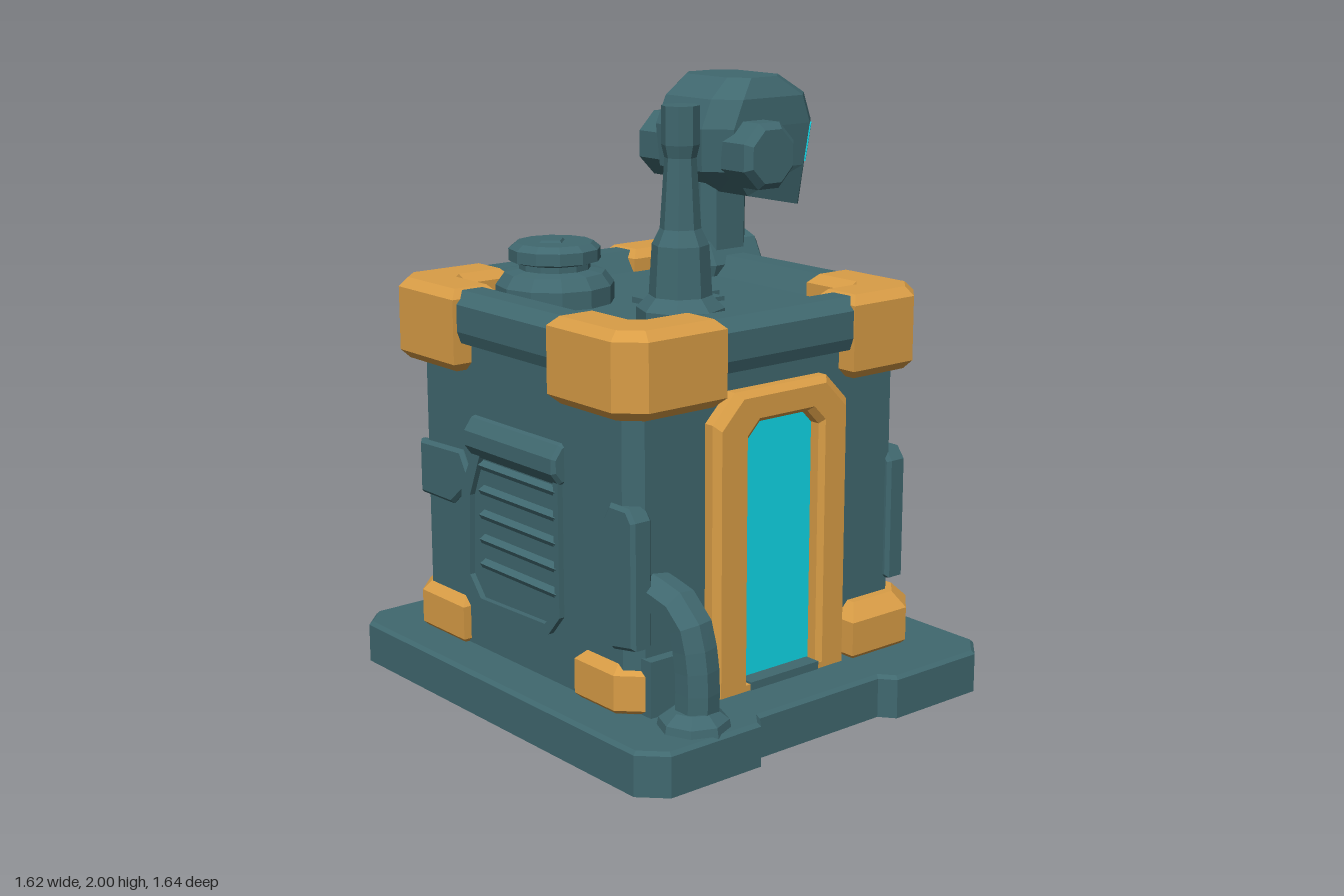
import * as THREE from 'three';

const paint = (name, color) => {
  const m = new THREE.MeshStandardMaterial({ color, flatShading: true });
  m.name = name;
  return m;
};

export function createModel() {
  const teal = paint('teal metal', 0x40686f);
  const orange = paint('orange trim', 0xd99d46);
  const cyan = paint('cyan glow', 0x10dcec);
  const root = new THREE.Group();

  const add = (name, geo, mat, parent = root) => {
    const mesh = new THREE.Mesh(geo, mat);
    mesh.name = name;
    parent.add(mesh);
    return mesh;
  };
  const box = (x0, x1, y0, y1, z0, z1) =>
    new THREE.BoxGeometry(x1 - x0, y1 - y0, z1 - z0)
      .translate((x0 + x1) / 2, (y0 + y1) / 2, (z0 + z1) / 2);
  const toVectors = pts => pts.map(p => new THREE.Vector2(...p));
  // Extrusion, either chamfered or with a hole
  const extrude = (pts, depth, b = 0, hole = null) => {
    const shape = new THREE.Shape(toVectors(pts));
    if (hole) {
      const h = toVectors(hole);
      shape.holes.push(new THREE.Path(THREE.ShapeUtils.isClockWise(h) ? h.reverse() : h));
    }
    return new THREE.ExtrudeGeometry(shape, {
      depth: depth - 2 * b, bevelEnabled: b > 0, bevelThickness: b,
      bevelSize: b, bevelOffset: -b, bevelSegments: 1,
    }).translate(0, 0, b);
  };
  // Horizontal slab from [x, z] points
  const slab = (pts, y0, y1, b, hole) => {
    const flip = list => list.map(([x, z]) => [x, -z]);
    return extrude(flip(pts), y1 - y0, b, hole && flip(hole))
      .rotateX(-Math.PI / 2).translate(0, y0, 0);
  };
  // Plate facing +x from [z, y] points
  const sidePlate = (pts, x0, x1, b, hole) => {
    const turn = list => list.map(([z, y]) => [-z, y]);
    return extrude(turn(pts), x1 - x0, b, hole && turn(hole))
      .rotateY(Math.PI / 2).translate(x0, 0, 0);
  };
  const chamferRect = (x0, x1, z0, z1, c) => [
    [x0 + c, z0], [x1 - c, z0], [x1, z0 + c], [x1, z1 - c],
    [x1 - c, z1], [x0 + c, z1], [x0, z1 - c], [x0, z0 + c]];
  // Flat-shaded skin through a stack of equal-length rings
  const loft = (rings, caps) => {
    const n = rings[0].length, idx = [];
    for (let r = 0; r < rings.length - 1; r++)
      for (let i = 0; i < n; i++) {
        const a = r * n + i, b = r * n + (i + 1) % n;
        idx.push(a, a + n, b, b, a + n, b + n);
      }
    const top = (rings.length - 1) * n;
    for (let i = 1; caps && i < n - 1; i++)
      idx.push(0, i, i + 1, top, top + i + 1, top + i);
    const g = new THREE.BufferGeometry();
    g.setAttribute('position', new THREE.Float32BufferAttribute(rings.flat(2), 3));
    g.setIndex(idx);
    g.computeVertexNormals();
    return g;
  };
  const lathe = (pts, seg) => new THREE.LatheGeometry(toVectors(pts), seg);

  // Base: hollow plinth with wider corner tabs
  const tabs = (e, c) => [
    [-0.81 + e + c, -0.82 + e], [-0.37 - e, -0.82 + e], [-0.33 - e, -0.77 + e],
    [0.19 + e, -0.77 + e], [0.23 + e, -0.82 + e], [0.68 - e - c, -0.82 + e],
    [0.68 - e, -0.82 + e + c], [0.68 - e, 0.82 - e - c],
    [0.68 - e - c, 0.82 - e], [0.23 + e, 0.82 - e], [0.19 + e, 0.77 - e],
    [-0.33 - e, 0.77 - e], [-0.37 - e, 0.82 - e], [-0.81 + e + c, 0.82 - e],
    [-0.81 + e, 0.82 - e - c], [-0.81 + e, -0.82 + e + c]];
  add('baseTop', slab(tabs(0, 0.08), 0.1, 0.145, 0.012), teal);
  add('baseWall', slab(tabs(0, 0.08), 0, 0.12, 0, tabs(0.03, 0.07)), teal);

  // Main cabin, raised roof rim and deck panels
  add('cabin', slab(chamferRect(-0.65, 0.5, -0.62, 0.54, 0.05), 0.14, 1.3, 0), teal);
  const rim = (e, y) => chamferRect(-0.705 + e, 0.55 - e, -0.69 + e, 0.605 - e, 0.07)
    .map(([x, z]) => [x, y, z]);
  add('roofRim', loft([rim(0.06, 1.19), rim(0.015, 1.2), rim(0, 1.24), rim(0, 1.33),
    rim(0.04, 1.37), rim(0.12, 1.37), rim(0.17, 1.295)], false), teal);
  add('roofPanel', box(-0.15, 0.15, 1.29, 1.32, -0.08, 0.02), teal);
  add('roofPanel', box(-0.16, 0.11, 1.29, 1.315, 0.02, 0.09), teal);

  // Orange corner guards, feet and underside pads
  for (const sx of [-1, 1]) for (const sz of [-1, 1]) {
    const X = sx < 0 ? -0.72 : 0.56, Z = sz < 0 ? -0.7 : 0.61;
    const at = (u, v) => [X - sx * u, Z - sz * v];
    const L = sx < 0 ? 0.39 : 0.35, w = 0.185;
    add('cornerGuard', slab([at(0.08, 0), at(L, 0), at(L, w), at(w + 0.02, w),
      at(w, w + 0.02), at(w, 0.4), at(0, 0.4), at(0, 0.08)], 1.1, 1.376, 0.03), orange);
    const cut = sx < 0 && sz > 0 ? 0.05 : 0;
    const fx = sx < 0 ? -0.68 : 0.56, fz = sz < 0 ? -0.68 : 0.62 - cut;
    const ft = (u, v) => [fx - sx * u, fz - sz * v];
    add('foot', slab([ft(0.09, 0), ft(0.34, 0), ft(0.34, 0.34 - cut), ft(0, 0.34 - cut),
      ft(0, 0.09)], 0.11, 0.325, 0.05), orange);
    const px = -0.065 + sx * 0.44, pz = sz * 0.53;
    add('undersidePad', slab(chamferRect(px - 0.14, px + 0.14, pz - 0.14, pz + 0.14, 0.08),
      0.093, 0.101, 0), orange);
  }
  add('guardBolt', sidePlate([[0.48, 1.24], [0.42, 1.25], [0.405, 1.2], [0.45, 1.19]],
    0.558, 0.565, 0), teal);

  // Door with a chamfered frame
  const arch = (x0, x1, y0, y1, c) =>
    [[x0, y0], [x1, y0], [x1, y1 - c], [x1 - c, y1], [x0 + c, y1], [x0, y1 - c]];
  const outer = (e, z) => arch(-0.36 + e, 0.21 - e, 0.13, 1.13 - e, 0.09)
    .reverse().map(([x, y]) => [x, y, z]);
  const inner = (e, z) => arch(-0.22 - e, 0.085 + e, 0.165, 1.025 + e, 0.05)
    .reverse().map(([x, y]) => [x, y, z]);
  add('doorFrame', loft([outer(0, 0.51), outer(0, 0.575), outer(0.02, 0.598),
    inner(0.015, 0.598), inner(0, 0.58), inner(0, 0.52)], false), orange);
  add('doorPanel', extrude(arch(-0.25, 0.11, 0.15, 1.05, 0.05), 0.008)
    .translate(0, 0, 0.537), cyan);
  add('doorSill', box(-0.215, 0.08, 0.13, 0.172, 0.52, 0.602), teal);

  // Louvred vents and armour panels on both sides
  for (const s of [1, -1]) {
    const vent = new THREE.Group();
    vent.name = s > 0 ? 'leftVent' : 'rightVent';
    vent.position.x = -0.075;
    vent.rotation.y = s > 0 ? 0 : Math.PI;
    root.add(vent);
    const m = pts => pts.map(([z, y]) => [z * s, y]);
    add('ventFrame', sidePlate(
      m([[0.19, 0.38], [0.13, 0.31], [-0.28, 0.29], [-0.36, 0.38], [-0.35, 0.7],
        [-0.26, 0.87], [0.19, 0.87]]), 0.56, 0.595, 0,
      m([[0.165, 0.4], [0.11, 0.34], [-0.25, 0.33], [-0.31, 0.4], [-0.3, 0.68],
        [-0.23, 0.85], [0.165, 0.85]])), teal, vent);
    const hood = add('ventHood', extrude([[0, -0.07], [0.03, -0.07], [0.06, -0.03],
      [0.06, 0.02], [0.03, 0.06], [0, 0.07]], 0.5, 0.012), teal, vent);
    hood.position.set(0.56, 0.89, -0.05 * s - 0.25);
    for (let i = 0; i < 5; i++) {
      const slat = add('ventSlat', new THREE.BoxGeometry(0.05, 0.018, 0.42), teal, vent);
      slat.position.set(0.572, 0.46 + i * 0.085, -0.035 * s);
      slat.rotation.z = -0.5;
    }
    add('rearSidePanel', sidePlate(
      m([[-0.3, 0.72], [-0.42, 0.62], [-0.61, 0.62], [-0.61, 0.81], [-0.36, 0.82]]),
      0.55, 0.59, 0.012), teal, vent);
    add('frontSidePanel', sidePlate(
      m([[0.56, 0.37], [0.56, 0.78], [0.53, 0.82], [0.44, 0.82], [0.41, 0.77],
        [0.41, 0.4], [0.45, 0.35]]), 0.51, 0.59, 0.012), teal, vent);
  }

  // Roof antenna and round hatch
  add('antenna', lathe([[0.14, 1.29], [0.14, 1.37], [0.1, 1.41], [0.09, 1.57], [0.065, 1.62],
    [0.05, 1.84], [0.06, 1.88], [0.06, 2], [0, 2]], 8).translate(-0.3, 0, 0.35), teal);
  add('roofHatch', lathe([[0.2, 1.29], [0.2, 1.36], [0.17, 1.4], [0.12, 1.41], [0.12, 1.43],
    [0.155, 1.44], [0.155, 1.48], [0.13, 1.5], [0, 1.5]], 12).translate(-0.32, 0, -0.28), teal);
  add('hatchKnob', new THREE.CylinderGeometry(0.045, 0.055, 0.012, 4)
    .translate(-0.33, 1.502, -0.28), teal);

  // Bent pipe by the door
  const path = new THREE.CatmullRomCurve3([[-0.53, 0.12, 0.7], [-0.53, 0.34, 0.7],
    [-0.54, 0.49, 0.66], [-0.55, 0.54, 0.5]].map(p => new THREE.Vector3(...p)));
  add('pipe', new THREE.TubeGeometry(path, 8, 0.07, 7), teal);
  add('pipeCollar', lathe([[0.12, 0.12], [0.11, 0.17], [0.07, 0.2], [0, 0.2]], 8)
    .translate(-0.54, 0, 0.7), teal);
  add('pipeBackplate', box(-0.61, -0.33, 0.14, 0.33, 0.5, 0.578), teal);

  // Robot head on its shoulder mount
  const hz = -0.365;
  add('shoulderMount', sidePlate([[-0.25, 1.34], [-0.29, 1.42], [-0.34, 1.44], [-0.48, 1.42],
    [-0.54, 1.35], [-0.52, 1.21], [-0.47, 1.12], [-0.41, 1.11], [-0.29, 1.22]],
  0.34, 0.615, 0.03), teal);
  add('neck', slab(chamferRect(0.35, 0.56, -0.46, -0.275, 0.04), 1.37, 1.63, 0), teal);
  const ring = (x0, x1, w, c, yBack, yFront = yBack) =>
    chamferRect(x0, x1, hz - w, hz + w, c).map(([x, z]) =>
      [x, yBack + (yFront - yBack) * (x - x0) / (x1 - x0), z]);
  add('head', loft([ring(0.4, 0.78, 0.165, 0.07, 1.6, 1.52), ring(0.3, 0.79, 0.195, 0.08, 1.68),
    ring(0.29, 0.81, 0.205, 0.08, 1.83), ring(0.335, 0.775, 0.203, 0.08, 1.93),
    ring(0.42, 0.66, 0.17, 0.06, 2)], true), teal);
  for (const s of [-1, 1])
    add('headEar', lathe([[0.125, 0], [0.125, 0.12], [0.1, 0.145], [0, 0.145]], 8)
      .rotateY(Math.PI / 8).rotateX(s * Math.PI / 2).translate(0.46, 1.74, hz + s * 0.165), teal);
  // Glowing eye plates on the front and angled faces
  for (const s of [-1, 0, 1]) {
    const eye = add('eye', new THREE.BoxGeometry(0.009, 0.135, s ? 0.08 : 0.13), cyan);
    eye.position.set(s ? 0.76 : 0.801, 1.757, hz + s * 0.161);
    eye.rotation.set(0, -s * Math.PI / 4, s ? -0.14 : -0.13, 'YXZ');
  }
  return root;
}
